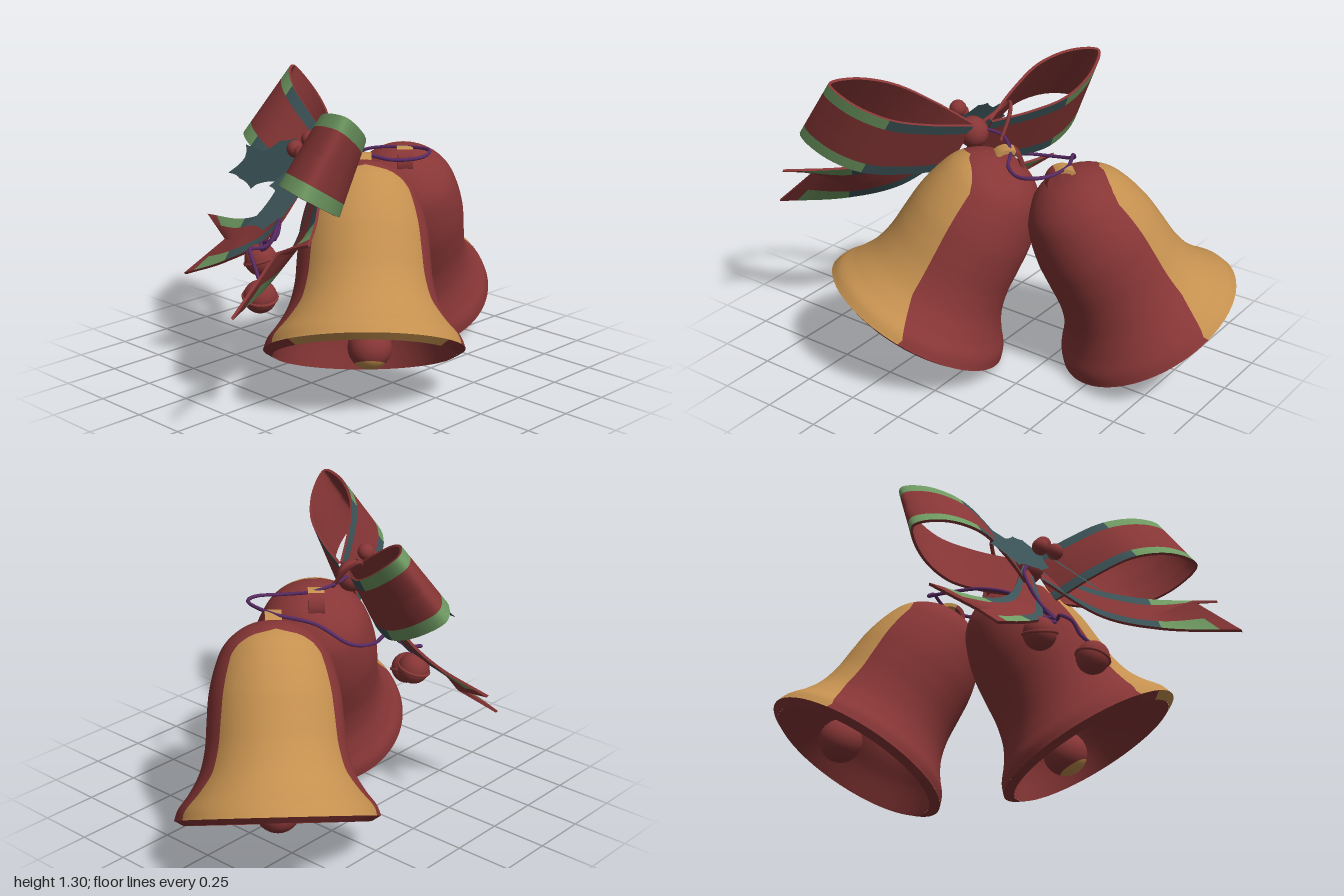
import * as THREE from 'three';
import { ParametricGeometry } from 'three/addons/geometries/ParametricGeometry.js';

const mat = (name, color, side = THREE.FrontSide) => {
  const m = new THREE.MeshStandardMaterial({ color, side });
  m.name = name;
  return m;
};
const V = (x, y, z = 0) => new THREE.Vector3(x, y, z);
const curve = pts => new THREE.CatmullRomCurve3(pts.map(p => V(...p)));

export function createModel() {
  const red = mat('red', 0x883636), gold = mat('gold', 0xc4904f), green = mat('green', 0x6f9a62);
  const teal = mat('teal', 0x3c5458, THREE.DoubleSide), purple = mat('purple', 0x5a2c66);
  const model = new THREE.Group();
  model.name = 'christmasBells';

  const add = (parent, name, geo, material, pos) => {
    const mesh = new THREE.Mesh(geo, material);
    mesh.name = name;
    if (pos) mesh.position.set(...pos);
    parent.add(mesh);
    return mesh;
  };

  // Bell profiles as [radius, height]; the gold patch has a half angle that varies with height
  const outer = curve([[.424, .016], [.408, .06], [.364, .12], [.32, .2], [.294, .3],
    [.284, .42], [.274, .53], [.245, .65], [.21, .73], [.15, .79], [.08, .825], [0, .835]]);
  const lip = new THREE.LineCurve3(V(.385, -.006), V(.424, .016));
  const inner = curve([[.385, -.006], [.345, .1], [.29, .22], [.26, .4], [.245, .55], [.2, .7], [.1, .77], [0, .785]]);
  const patch = [[0, 66], [.04, 68], [.2, 57], [.5, 53], [.68, 51], [.72, 45], [.75, 34], [.765, 22], [.775, .01], [1, .01]];
  const patchTurn = .05;
  const patchAngle = h => {
    const i = Math.max(1, patch.findIndex(p => p[0] > h));
    const [h0, w0] = patch[i - 1], [h1, w1] = patch[i];
    return THREE.MathUtils.degToRad(w0 + (w1 - w0) * (h - h0) / (h1 - h0));
  };
  const shell = (profile, from, to, slices, rows) => new ParametricGeometry((u, v, target) => {
    const p = profile.getPoint(THREE.MathUtils.clamp(v, 0, 1));
    const w = patchAngle(p.y);
    const a = THREE.MathUtils.lerp(from(w), to(w), u) + patchTurn;
    target.set(p.x * Math.sin(a), p.y, p.x * Math.cos(a));
  }, slices, rows);

  // Quarter of a strap loop, standing on the crown
  const strap = start => {
    const s = new THREE.Shape();
    s.absarc(0, 0, .07, start, start + Math.PI / 2, false);
    s.absarc(0, 0, .053, start + Math.PI / 2, start, true);
    const g = new THREE.ExtrudeGeometry(s, { depth: .07, bevelEnabled: false, curveSegments: 8 });
    return g.translate(0, 0, -.035).rotateY(-Math.PI / 2);
  };

  const makeBell = (name, center, side, ball, trim) => {
    const bell = new THREE.Group();
    bell.name = name;
    const axis = V(-.352 * side, .867, -.352 * side).normalize();
    const out = V(.613 * side, .498, .613 * side).normalize();
    const m = new THREE.Matrix4().makeBasis(axis.clone().cross(out), axis, out);
    bell.quaternion.setFromRotationMatrix(m);
    bell.position.set(...center);
    add(bell, 'goldPatch', shell(outer, w => -w, w => w, 24, 60), gold);
    add(bell, 'redShell', shell(outer, w => w, w => 2 * Math.PI - w, 48, 60), red);
    add(bell, 'lipFront', shell(lip, () => -.87, () => .87, 20, 1), trim);
    add(bell, 'lipBack', shell(lip, () => .87, () => 2 * Math.PI - .87, 48, 1), red);
    add(bell, 'inside', shell(inner, () => 2 * Math.PI, () => 0, 48, 40), red);
    // Clapper
    const cap = .75;
    add(bell, 'clapper', new THREE.SphereGeometry(.095, 28, 18, 0, Math.PI * 2, 0, Math.PI - cap), red, ball);
    add(bell, 'clapperTip', new THREE.SphereGeometry(.095, 28, 8, 0, Math.PI * 2, Math.PI - cap, cap), trim, ball);
    // Crown strap, one half in each colour
    add(bell, 'strapOuter', strap(0), gold, [0, .81, 0]);
    add(bell, 'strapInner', strap(Math.PI / 2), red, [0, .81, 0]);
    model.add(bell);
  };
  makeBell('frontBell', [.315, .228, .245], 1, [.025, .045, -.1], gold);
  makeBell('rearBell', [-.268, .21, -.602], -1, [0, .05, .1], red);

  // Ribbon between three edge curves, with border stripes and a real thickness.
  // borderColour gives the material number along the length: 0 red, 1 green, 2 teal
  const ribbon = (parent, name, [A, M, B], rows, stripe, borderColour, stripedBack) => {
    const th = .012, S = [0, stripe, .5, 1 - stripe, 1];
    const ring = [...S.map(s => [s, 0]), ...[...S].reverse().map(s => [s, th])];
    const pos = [], index = [[], [], []];
    const grid = [];
    for (let i = 0; i <= rows; i++) {
      const t = i / rows;
      const a = A.getPoint(t), c = M.getPoint(t), b = B.getPoint(t);
      const n = M.getTangent(t).cross(b.clone().sub(a)).normalize();
      grid.push(ring.map(([s, d]) => (s < .5 ? a.clone().lerp(c, s * 2) : c.clone().lerp(b, s * 2 - 1)).addScaledVector(n, -d)));
    }
    ring.forEach((r, k) => {
      const next = (k + 1) % ring.length, base = pos.length / 3;
      const border = k === 0 || k === 3 || (stripedBack && (k === 5 || k === 8));
      grid.forEach(row => pos.push(...row[k].toArray(), ...row[next].toArray()));
      for (let i = 0; i < rows; i++) {
        const q = base + i * 2;
        index[border ? borderColour((i + .5) / rows) : 0].push(q, q + 2, q + 1, q + 1, q + 2, q + 3);
      }
    });
    // Close the cut end
    const base = pos.length / 3;
    grid[rows].forEach(p => pos.push(...p.toArray()));
    for (let k = 0; k < 4; k++) index[0].push(base + k, base + 9 - k, base + k + 1, base + k + 1, base + 9 - k, base + 8 - k);
    const g = new THREE.BufferGeometry();
    g.setAttribute('position', new THREE.Float32BufferAttribute(pos, 3));
    g.setIndex(index.flat());
    let start = 0;
    index.forEach((list, k) => { g.addGroup(start, list.length, k); start += list.length; });
    g.computeVertexNormals();
    add(parent, name, g, [red, green, teal]);
  };

  const bow = new THREE.Group();
  bow.name = 'bow';
  model.add(bow);

  // Bow loops: a lens-shaped path from the knot to a far point and back, for each edge
  const lens = [[.02, .1], [.3, .68], [.58, 1], [.85, .68], [1, 0], [.85, -.68], [.58, -1], [.3, -.68], [.02, -.1]];
  const loop = (name, topKnot, topFar, lowKnot, lowFar) => {
    const [a0, a1, b0, b1] = [topKnot, topFar, lowKnot, lowFar].map(p => V(...p));
    const T = a1.clone().add(b1).sub(a0).sub(b0).cross(b1.clone().sub(a1)).normalize();
    const edge = (p, q, thick) => new THREE.CatmullRomCurve3(lens.map(([d, k]) => p.clone().lerp(q, d).addScaledVector(T, k * thick)));
    const mid = edge(a0.clone().lerp(b0, .5), a1.clone().lerp(b1, .5), .12);
    ribbon(bow, name, [edge(a0, a1, .105), mid, edge(b0, b1, .135)], 48, .17, t => t > .25 && t < .75 ? 1 : 2, false);
  };
  loop('leftLoop', [.03, 1.06, .12], [.497, 1.305, .53], [.05, .83, .25], [.465, 1.02, .74]);
  loop('rightLoop', [-.03, 1.06, .1], [-.51, 1.3, -.15], [-.05, .83, .23], [-.62, 1, .03]);

  // Swallow-tailed ribbon ends
  const tail = (name, a, b, notch) => {
    const m = a.map((p, i) => i === a.length - 1 ? notch : p.map((x, k) => (x + b[i][k]) / 2));
    ribbon(bow, name, [a, m, b].map(curve), 24, .22, t => t > .92 ? 0 : t > .67 ? 1 : 2, true);
  };
  tail('leftTail', [[.04, 1, .18], [.2, .9, .38], [.35, .86, .55], [.545, .855, .78]],
    [[.02, .93, .22], [.14, .73, .45], [.24, .64, .68], [.355, .575, 1]], [.36, .785, .77]);
  tail('rightTail', [[-.06, 1, .18], [-.25, .755, .25], [-.42, .675, .25], [-.71, .635, .22]],
    [[-.04, .93, .22], [-.16, .66, .36], [-.34, .54, .44], [-.585, .435, .47]], [-.5, .575, .3]);

  // Knot and a little string loop behind it
  const knot = add(bow, 'knot', new THREE.SphereGeometry(.07, 20, 14), red, [0, 1.01, .16]);
  knot.scale.set(.9, 1, 1);
  add(bow, 'stringLoop', new THREE.TubeGeometry(curve([[0, 1.04, .14], [-.1, 1.09, .1], [-.13, 1.13, .06],
    [-.09, 1.1, .03], [-.01, 1, .02]]), 24, .009, 6), red);

  // Holly leaves: prickly outlines tilted forward as they fall
  const leaf = (name, pts, z0, slope) => {
    const s = new THREE.Shape();
    const mean = k => pts.reduce((t, p) => t + p[k], 0) / pts.length;
    const cx = mean(0), cy = mean(1);
    pts.forEach(([x, y], i) => {
      if (!i) return s.moveTo(x, y);
      const [px, py] = pts[i - 1];
      s.quadraticCurveTo(((px + x) / 2) * .9 + cx * .1, ((py + y) / 2) * .9 + cy * .1, x, y);
    });
    const g = new THREE.ShapeGeometry(s, 5), p = g.attributes.position;
    for (let i = 0; i < p.count; i++) p.setZ(i, z0 + (1.05 - p.getY(i)) * slope);
    g.computeVertexNormals();
    add(bow, name, g, teal);
  };
  leaf('rightLeaf', [[0, 1.06], [-.12, 1.08], [-.2, 1.06], [-.28, 1.005], [-.4, 1.015], [-.38, .96], [-.45, .89],
    [-.37, .88], [-.28, .85], [-.25, .875], [-.16, .9], [-.08, .92], [0, .97], [0, 1.06]], .235, .5);
  leaf('leftLeaf', [[-.03, 1.06], [.04, 1.04], [.11, 1.05], [.1, .98], [.125, .93], [.1, .9], [.09, .83], [.03, .77],
    [-.07, .77], [-.045, .83], [-.04, .9], [-.09, .91], [-.05, .98], [-.03, 1.06]], .255, 1.05);

  // Berries
  [[-.062, 1.052, .275], [.008, 1.048, .3], [-.005, 1.097, .245]].forEach((p, i) =>
    add(bow, 'berry' + (i + 1), new THREE.SphereGeometry(.037, 18, 12), red, p));

  // Jingle bells with a raised belt
  [[-.19, .56, .365, .25], [-.03, .465, .515, -.25]].forEach(([x, y, z, roll], i) => {
    const j = new THREE.Group();
    j.name = 'jingleBell' + (i + 1);
    add(j, 'ball', new THREE.SphereGeometry(.071, 24, 16), red);
    add(j, 'belt', new THREE.TorusGeometry(.071, .007, 8, 28).rotateX(Math.PI / 2), red);
    j.position.set(x, y, z);
    j.rotation.set(.15, 0, roll);
    model.add(j);
  });

  // Cords through the straps and down to the jingle bells
  [[[-.02, 1.03, .12], [-.03, 1.02, .03], [.03, .99, -.06], [.13, .97, -.12], [.2, .975, -.23], [.16, .985, -.32],
    [.01, .975, -.33], [-.16, .95, -.25], [-.28, .87, -.17], [-.3, .84, -.05], [-.25, .83, .1], [-.18, .78, .24],
    [-.1, .67, .36], [-.16, .645, .37], [-.19, .62, .365]],
  [[-.05, 1, .2], [-.13, .9, .24], [-.12, .75, .31], [-.12, .64, .4], [-.16, .63, .45], [-.12, .61, .48],
    [-.08, .56, .49], [-.04, .53, .51]],
  [[-.12, .72, .33], [-.105, .66, .38], [-.14, .62, .4], [-.18, .64, .37]]
  ].forEach((pts, i) => add(model, 'cord' + (i + 1), new THREE.TubeGeometry(curve(pts), 70, .008, 6), purple));

  return model;
}
